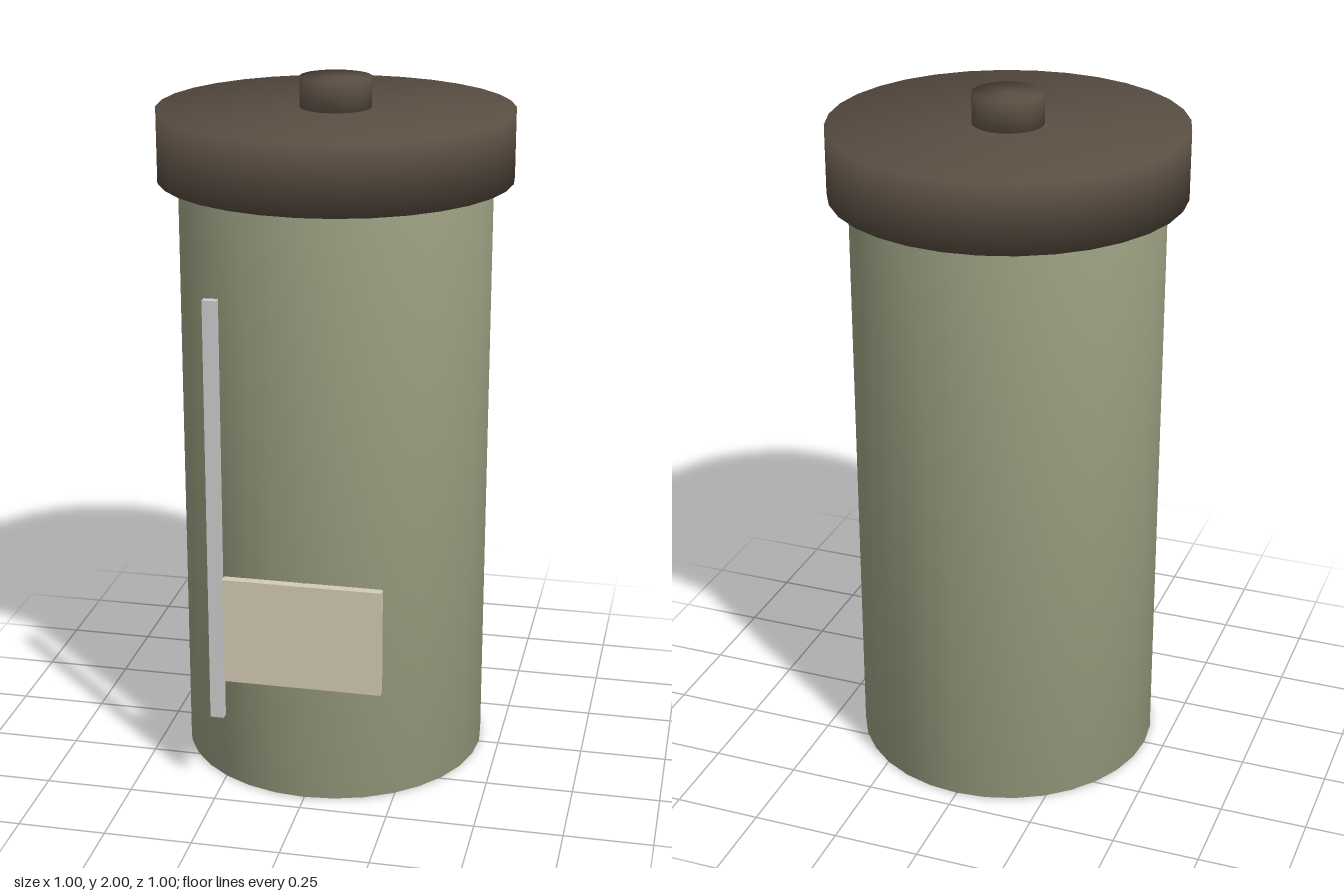
import * as THREE from 'three';
import { mergeVertices } from 'three/addons/utils/BufferGeometryUtils.js';

const flat = (name, color) => {
  const m = new THREE.MeshStandardMaterial({ color });
  m.name = name;
  return m;
};

// Cylinder whose normals run smoothly over the rims
function softCylinder(radius, y0, y1) {
  const g = new THREE.CylinderGeometry(radius, radius, y1 - y0, 32);
  g.deleteAttribute('normal');
  g.deleteAttribute('uv');
  const welded = mergeVertices(g, 1e-4);
  welded.computeVertexNormals();
  welded.translate(0, (y0 + y1) / 2, 0);
  return welded;
}

// Box given by its two opposite corners
function boxBetween(a, b) {
  const g = new THREE.BoxGeometry(b[0] - a[0], b[1] - a[1], b[2] - a[2]);
  return g.translate((a[0] + b[0]) / 2, (a[1] + b[1]) / 2, (a[2] + b[2]) / 2);
}

export function createModel() {
  const group = new THREE.Group();
  group.name = 'canister';
  const green = flat('sage green', 0x989c7e);
  const brown = flat('dark brown', 0x5a4e42);
  const cream = flat('cream', 0xd2cab3);
  const grey = flat('light grey', 0xcccccc);

  const add = (name, geometry, material) => {
    const mesh = new THREE.Mesh(geometry, material);
    mesh.name = name;
    group.add(mesh);
  };

  // Body, with a dark foot plate set in its underside
  add('body', softCylinder(0.442, 0.002, 1.74), green);
  add('footPlate', softCylinder(0.38, 0, 0.008), brown);

  // Lid and knob
  add('lid', softCylinder(0.5, 1.72, 1.915), brown);
  add('knob', softCylinder(0.1, 1.9, 2), brown);

  // Label and upright strip on the front
  add('label', boxBetween([-0.225, 0.36, 0.44], [0.225, 0.67, 0.467]), cream);
  add('gaugeStrip', boxBetween([-0.265, 0.245, 0.447], [-0.226, 1.475, 0.47]), grey);

  return group;
}
